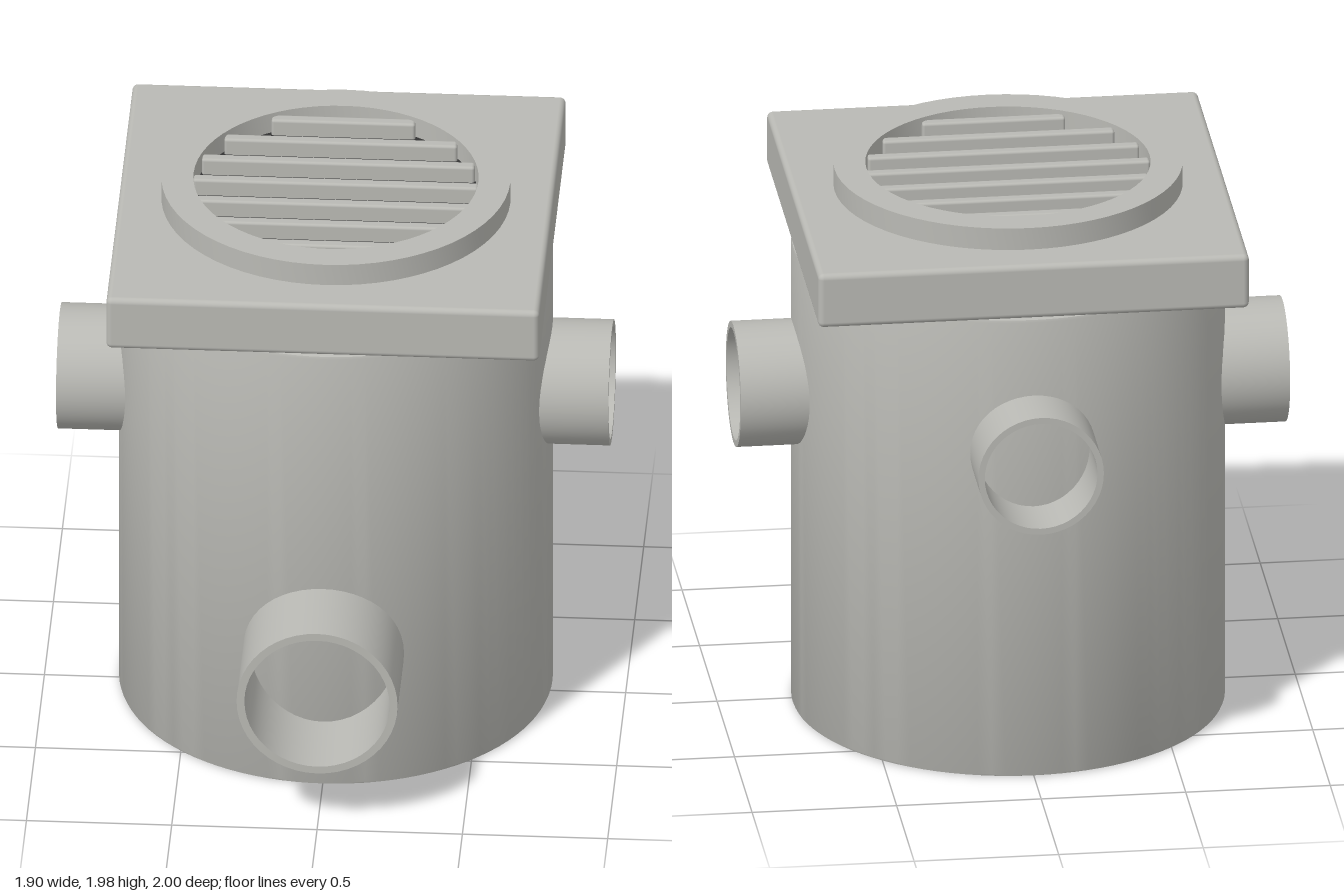
import * as THREE from 'three';
import { toCreasedNormals } from 'three/addons/utils/BufferGeometryUtils.js';
import { RoundedBoxGeometry } from 'three/addons/geometries/RoundedBoxGeometry.js';

const CZ = -0.053; // z of the chamber axis

const concrete = new THREE.MeshStandardMaterial({ color: 0xb9b9b4 });
concrete.name = 'concrete grey';
const dark = new THREE.MeshStandardMaterial({ color: 0x333333 });
dark.name = 'dark opening';

function add(parent, name, geometry, material, x = 0, y = 0, z = 0) {
  const mesh = new THREE.Mesh(geometry, material);
  mesh.name = name;
  mesh.position.set(x, y, z);
  parent.add(mesh);
  return mesh;
}

// Revolved [radius, height] profile with sharp edges kept
function lathe(points, segments = 64) {
  const profile = points.map(([r, y]) => new THREE.Vector2(r, y));
  return toCreasedNormals(new THREE.LatheGeometry(profile, segments), 0.6);
}

// Hollow sleeve running along y from bottom to top
function sleeve(outer, inner, bottom, top, segments) {
  return lathe([
    [inner, bottom], [outer, bottom], [outer, top], [inner, top], [inner, bottom],
  ], segments);
}

export function createModel() {
  const model = new THREE.Group();
  model.name = 'drainChamber';

  // Cylindrical chamber with softened rims
  add(model, 'chamberBody', lathe([
    [0, 0], [0.735, 0], [0.742, 0.003], [0.745, 0.01],
    [0.745, 1.688], [0.742, 1.697], [0.735, 1.7], [0, 1.7],
  ], 96), concrete, 0, 0, CZ);

  // Square cover slab
  add(model, 'coverSlab', new RoundedBoxGeometry(1.49, 0.198, 1.49, 4, 0.02),
    concrete, 0, 1.801, CZ);

  // Grate: frame ring, dark opening and bars cut to the circle
  const grate = new THREE.Group();
  grate.name = 'grate';
  grate.position.z = CZ;
  model.add(grate);
  const openingRadius = 0.49;
  add(grate, 'grateFrame', sleeve(0.6, openingRadius, 1.89, 1.98, 64), concrete);
  add(grate, 'grateOpening', new THREE.CylinderGeometry(0.495, 0.495, 0.008, 64),
    dark, 0, 1.901, 0);
  for (let i = -3; i <= 3; i++) {
    const z = i * 0.141;
    const length = 2 * Math.sqrt(openingRadius ** 2 - z ** 2);
    add(grate, 'grateBar', new RoundedBoxGeometry(length, 0.07, 0.042, 2, 0.01),
      concrete, 0, 1.93, z);
  }

  // Pipe stubs: each is turned about y so that it leaves the wall radially
  const stubs = [
    ['outletPipe', 0, 0.5, 0.277, 0.25, 1 - CZ],
    ['leftInletPipe', Math.PI / 2, 1.2, 0.217, 0.195, 0.95],
    ['backInletPipe', Math.PI, 1.2, 0.217, 0.195, 1 + CZ],
    ['rightInletPipe', -Math.PI / 2, 1.2, 0.217, 0.195, 0.95],
  ];
  for (const [name, turn, y, outer, inner, reach] of stubs) {
    const geometry = sleeve(outer, inner, 0.65, reach, 48);
    geometry.rotateX(Math.PI / 2);
    add(model, name, geometry, concrete, 0, y, CZ).rotation.y = turn;
  }
  return model;
}
